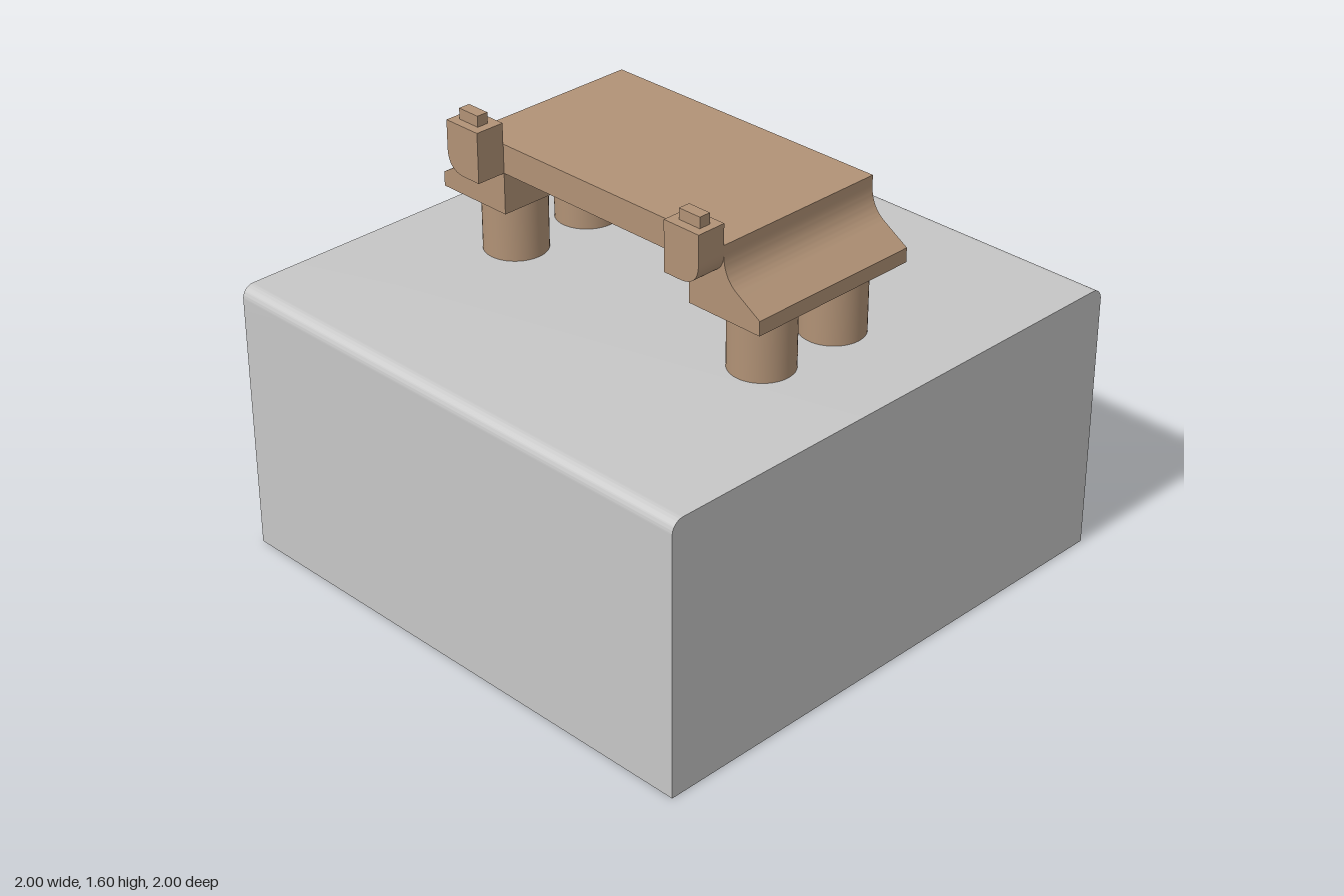
import * as THREE from 'three';
import { toCreasedNormals } from 'three/addons/utils/BufferGeometryUtils.js';

const stone = new THREE.MeshStandardMaterial({ color: 0xc6c6c6 });
stone.name = 'grey block';
const tan = new THREE.MeshStandardMaterial({ color: 0xb19276 });
tan.name = 'tan bracket';

function part(name, geometry, material, parent) {
  const mesh = new THREE.Mesh(geometry, material);
  mesh.name = name;
  parent.add(mesh);
  return mesh;
}

function extrude(shape, depth) {
  const geo = new THREE.ExtrudeGeometry(shape, { depth, bevelEnabled: false, curveSegments: 16 });
  return toCreasedNormals(geo, 0.4);
}

// Extrudes a (z, y) profile along x between x0 and x1
function extrudeAlongX(shape, x0, x1) {
  return extrude(shape, x1 - x0).rotateY(-Math.PI / 2).translate(x1, 0, 0);
}

export function createModel() {
  const model = new THREE.Group();
  model.name = 'bracketOnBlock';

  // Block with its two long top edges rounded
  const r = 0.045;
  const block = new THREE.Shape();
  block.moveTo(-1, 0);
  block.lineTo(1, 0);
  block.lineTo(1, 1 - r);
  block.absarc(1 - r, 1 - r, r, 0, Math.PI / 2, false);
  block.lineTo(-1 + r, 1);
  block.absarc(-1 + r, 1 - r, r, Math.PI / 2, Math.PI, false);
  block.lineTo(-1, 0);
  part('block', extrude(block, 2).translate(0, 0, -1), stone, model);

  const bracket = new THREE.Group();
  bracket.name = 'bracket';
  bracket.position.z = -0.008;
  model.add(bracket);

  // Bridge with flared feet, as a (z, y) profile
  const bridge = new THREE.Shape();
  bridge.moveTo(-0.4225, 1.235);
  bridge.lineTo(-0.4225, 1.385);
  bridge.lineTo(0.4225, 1.385);
  bridge.lineTo(0.4225, 1.235);
  bridge.lineTo(0.7225, 1.235);
  bridge.lineTo(0.7225, 1.287);
  bridge.lineTo(0.625, 1.347);
  bridge.quadraticCurveTo(0.57, 1.382, 0.57, 1.455);
  bridge.lineTo(0.57, 1.49);
  bridge.lineTo(-0.57, 1.49);
  bridge.lineTo(-0.57, 1.455);
  bridge.quadraticCurveTo(-0.57, 1.382, -0.625, 1.347);
  bridge.lineTo(-0.7225, 1.287);
  bridge.lineTo(-0.7225, 1.235);
  part('bridge', extrudeAlongX(bridge, -0.34, 0.336), tan, bracket);

  for (const side of [1, -1]) {
    const end = side > 0 ? 'front' : 'back';

    // Pair of round legs
    for (const x of [-0.165, 0.165]) {
      const leg = part(end + 'Leg', new THREE.CylinderGeometry(0.113, 0.113, 0.235, 48), tan, bracket);
      leg.position.set(x, 1.1175, side * 0.57);
    }

    // Side lug with a rounded lower outer edge
    const lug = new THREE.Shape();
    lug.moveTo(side * 0.4225, 1.385);
    lug.lineTo(side * 0.49, 1.385);
    lug.quadraticCurveTo(side * 0.57, 1.385, side * 0.57, 1.465);
    lug.lineTo(side * 0.57, 1.565);
    lug.lineTo(side * 0.4225, 1.565);
    part(end + 'Lug', extrudeAlongX(lug, -0.45, -0.34), tan, bracket);

    // Small stud on top of the lug
    const stud = part(end + 'Stud', new THREE.BoxGeometry(0.043, 0.04, 0.088), tan, bracket);
    stud.position.set(-0.396, 1.584, side * 0.499);
  }

  return model;
}
